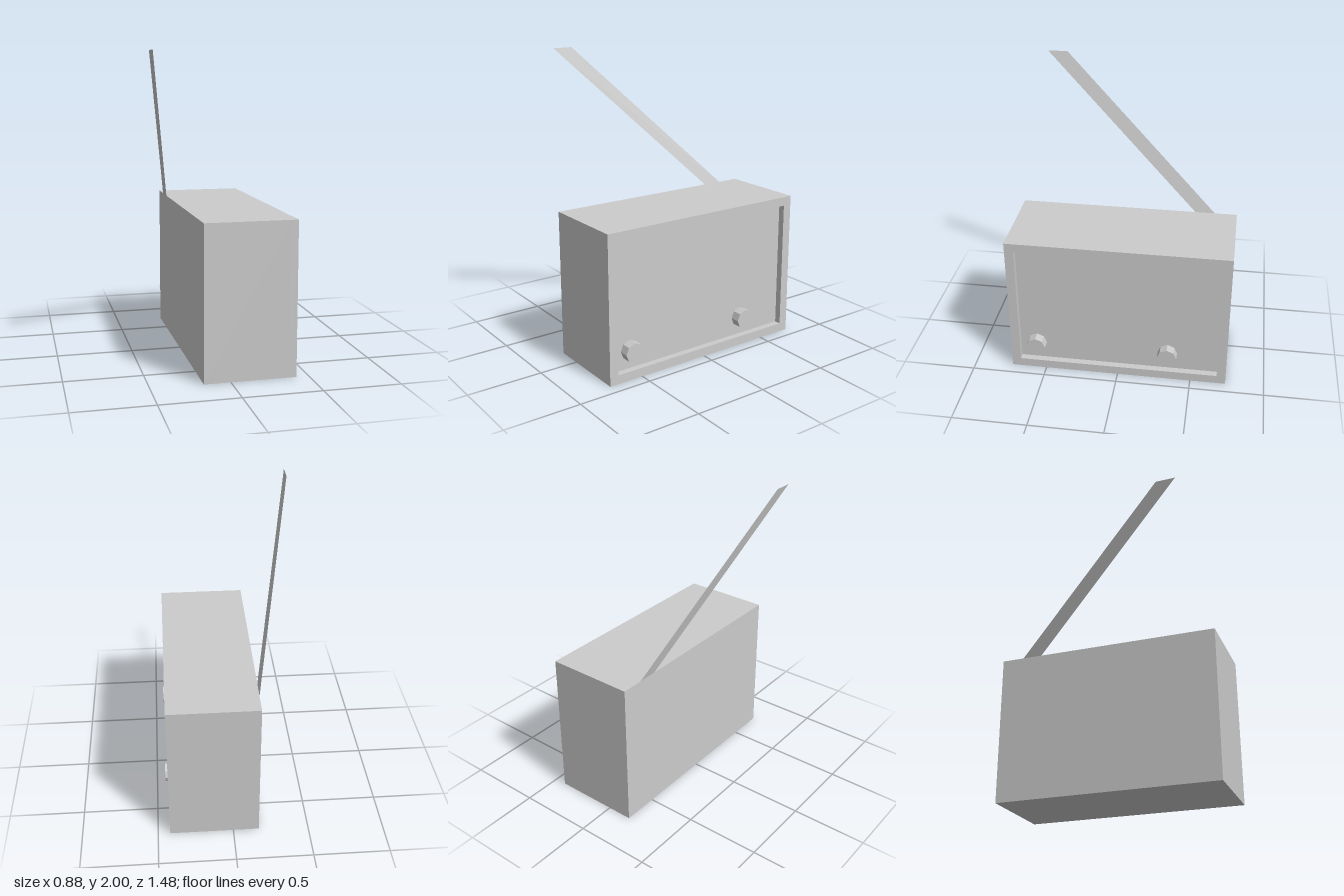
import * as THREE from 'three';

const HEIGHT = 0.99, WIDTH = 1.48;          // cabinet size along y and z
const BACK = -0.17, PANEL = 0.375, FRONT = 0.42; // x of back, recessed panel and rim

// Rectangle centred on the first axis, standing between y0 and y1
function rectangle(Type, halfWidth, y0, y1) {
  return new Type([
    new THREE.Vector2(-halfWidth, y0), new THREE.Vector2(halfWidth, y0),
    new THREE.Vector2(halfWidth, y1), new THREE.Vector2(-halfWidth, y1),
  ]);
}

export function createModel() {
  const model = new THREE.Group();
  model.name = 'radio';
  const material = new THREE.MeshStandardMaterial({ color: 0xcccccc, flatShading: true });

  function add(name, geometry, mat = material) {
    const mesh = new THREE.Mesh(geometry, mat);
    mesh.name = name;
    model.add(mesh);
    return mesh;
  }

  // Cabinet up to the recessed panel
  add('cabinet', new THREE.BoxGeometry(PANEL - BACK, HEIGHT, WIDTH))
    .position.set((BACK + PANEL) / 2, HEIGHT / 2, 0);

  // Raised rim around the panel
  const rim = rectangle(THREE.Shape, WIDTH / 2, 0, HEIGHT);
  rim.holes.push(rectangle(THREE.Path, 0.68, 0.06, 0.93));
  add('panelRim', new THREE.ExtrudeGeometry(rim, { depth: FRONT - PANEL, bevelEnabled: false })
    .rotateY(Math.PI / 2)).position.x = PANEL;

  // Two eight-sided knobs
  for (const [name, z] of [['tuningKnob', -0.337], ['volumeKnob', 0.565]]) {
    const length = 0.44 - PANEL;
    add(name, new THREE.CylinderGeometry(0.066, 0.066, length, 8).rotateZ(-Math.PI / 2))
      .position.set(PANEL + length / 2, 0.187, z);
  }

  // Thin slanted antenna strip, cut level at both ends
  const antenna = new THREE.BufferGeometry();
  antenna.setAttribute('position', new THREE.Float32BufferAttribute([
    BACK, HEIGHT, -0.59, BACK, HEIGHT, -0.457,
    -0.44, 2, 0.59, -0.44, 2, 0.457,
  ], 3));
  antenna.setIndex([0, 1, 2, 0, 2, 3]);
  antenna.computeVertexNormals();
  const sheet = material.clone();
  sheet.side = THREE.DoubleSide;
  add('antenna', antenna, sheet);

  return model;
}
